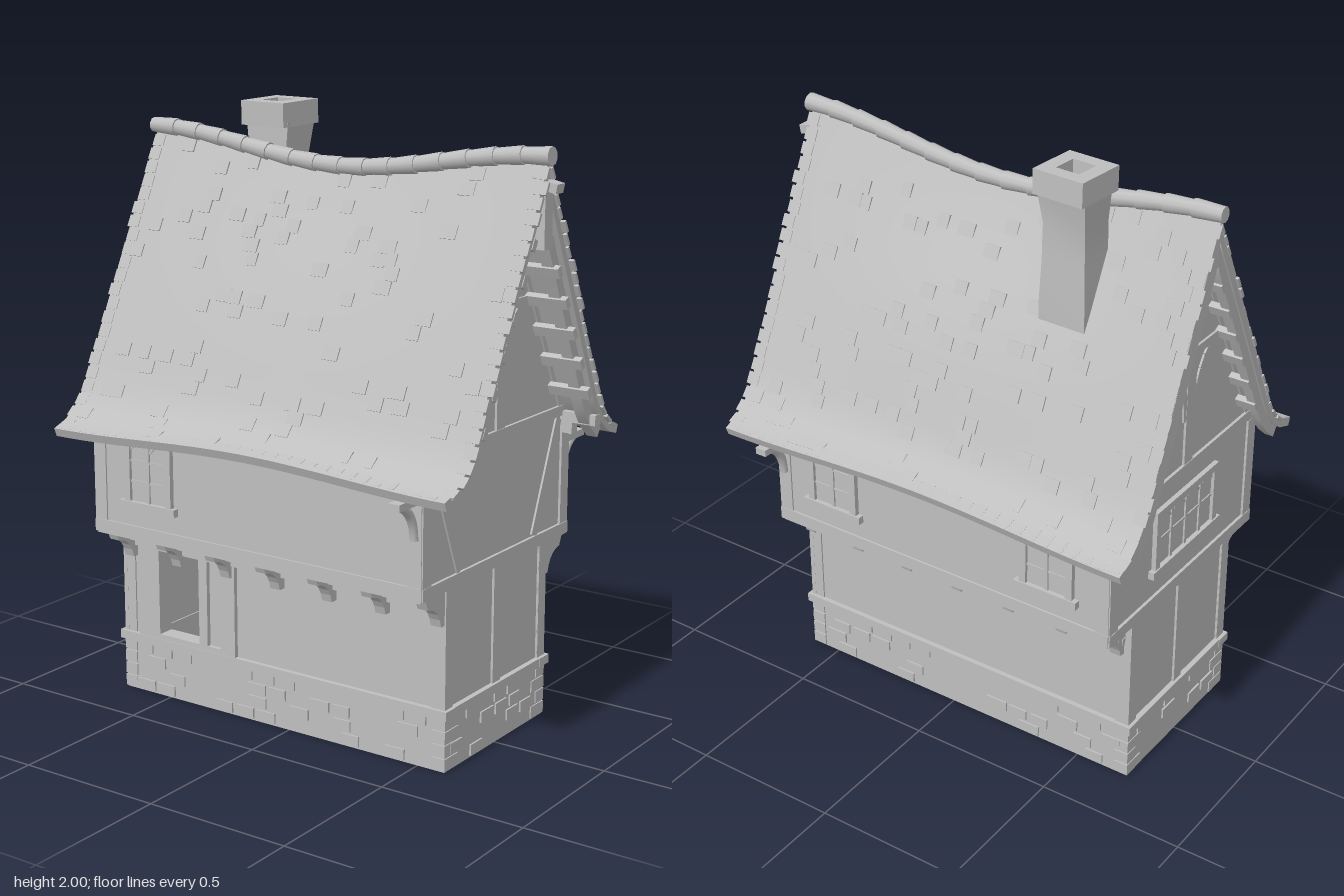
import * as THREE from 'three';
import { mergeGeometries, toCreasedNormals } from 'three/addons/utils/BufferGeometryUtils.js';

const FRONT = 0.6, BACK = -0.69;
const SIDES = [1, -1];

// Seeded random numbers
let seed = 7;
const rnd = () => (seed = (seed * 16807) % 2147483647) / 2147483647;

// Box given by centre and size, turned about x, then z
function box(w, h, d, x, y, z, rz = 0, rx = 0) {
  return new THREE.BoxGeometry(w, h, d).rotateX(rx).rotateZ(rz).translate(x, y, z);
}
// Box given by its limits
const span = (x0, x1, y0, y1, z0, z1) =>
  box(Math.abs(x1 - x0), y1 - y0, z1 - z0, (x0 + x1) / 2, (y0 + y1) / 2, (z0 + z1) / 2);
// Timber between two points in the plane z
const bar = (x1, y1, x2, y2, w, z, d = 0.016) =>
  box(Math.hypot(x2 - x1, y2 - y1), w, d, (x1 + x2) / 2, (y1 + y2) / 2, z, Math.atan2(y2 - y1, x2 - x1));

// Closed skin over rings of points; flip reverses the faces
function loft(rings, flip) {
  const n = rings[0].length, pos = rings.flat(2), idx = [];
  const quad = (a, b, c, d) => (flip ? idx.push(a, c, b, a, d, c) : idx.push(a, b, c, a, c, d));
  for (let k = 0; k + 1 < rings.length; k++) {
    for (let i = 0; i < n; i++) {
      const j = (i + 1) % n;
      quad(k * n + i, (k + 1) * n + i, (k + 1) * n + j, k * n + j);
    }
  }
  const e = (rings.length - 1) * n;
  for (let i = 0; i < n / 2 - 1; i++) {
    quad(i, i + 1, n - 2 - i, n - 1 - i);
    quad(e + n - 1 - i, e + n - 2 - i, e + i + 1, e + i);
  }
  const g = new THREE.BufferGeometry();
  g.setAttribute('position', new THREE.Float32BufferAttribute(pos, 3));
  g.setIndex(idx);
  return toCreasedNormals(g.toNonIndexed(), 0.6);
}

// Roof slope: ridge to flared eave, sagging at the ridge and bulging below it
const slope = new THREE.SplineCurve([[0, 1.88], [0.2, 1.485], [0.38, 1.125], [0.43, 1.04], [0.49, 0.985], [0.555, 0.96]]
  .map(p => new THREE.Vector2(...p)));
function roofAt(side, v, z, t = 0) {
  const p = slope.getPointAt(v), d = slope.getTangentAt(v);
  const sag = Math.cos(Math.PI * z / 1.54) ** 2;
  const out = t + sag * (side > 0 ? 0.032 : 0.014) * Math.sin(Math.PI * v) ** 2;
  return {
    p: [side * Math.max(0, p.x - d.y * out), p.y + d.x * out + sag * (0.03 * v - 0.082 * (1 - v)), z - (side > 0 ? 0.03 * v : 0)],
    angle: side * Math.atan2(d.y, d.x),
  };
}
// Slab following the slope between two offsets
function roofSlab(side, t0, t1, v1, z0, z1, steps) {
  const rings = [], N = 18;
  for (let k = 0; k <= steps; k++) {
    const z = z0 + (z1 - z0) * k / steps, ring = [];
    for (let i = 0; i <= N; i++) ring.push(roofAt(side, v1 * i / N, z, t1).p);
    for (let i = N; i >= 0; i--) ring.push(roofAt(side, v1 * i / N, z, t0).p);
    rings.push(ring);
  }
  return loft(rings, side < 0);
}

export function createModel() {
  seed = 7;
  const house = new THREE.Group();
  house.name = 'house';
  const grey = new THREE.MeshStandardMaterial({ color: 0xbfbfbf });
  grey.name = 'grey';
  const add = (name, geos) => {
    const clean = geos.map(g => {
      const c = g.index ? g.toNonIndexed() : g;
      c.deleteAttribute('uv');
      return c;
    });
    const m = new THREE.Mesh(mergeGeometries(clean), grey);
    m.name = name;
    house.add(m);
    return m;
  };

  // Stone footing, open underneath, with proud stones
  const foot = [], stones = [];
  for (const s of SIDES) {
    foot.push(span(s * 0.301, s * 0.25, 0, 0.185, BACK, FRONT));
    const zf = s > 0 ? FRONT : BACK;
    foot.push(box(0.6, 0.185, 0.05, 0, 0.0925, zf - s * 0.025));
    for (let row = 0; row < 4; row++) {
      const y = 0.025 + row * 0.045;
      for (let z = BACK + 0.04 + rnd() * 0.05; z < FRONT - 0.04; z += 0.085) {
        if (rnd() < 0.4) stones.push(box(0.014, 0.036, 0.06 + rnd() * 0.02, s * 0.3, y, z));
      }
      for (let x = -0.24 + rnd() * 0.04; x < 0.25; x += 0.085) {
        if (rnd() < 0.4) stones.push(box(0.06 + rnd() * 0.02, 0.036, 0.012, x, y, zf));
      }
      for (const c of SIDES) stones.push(box(row % 2 ? 0.05 : 0.08, 0.04, 0.05, c * (row % 2 ? 0.281 : 0.266), y, zf - s * 0.021));
    }
  }
  add('stoneFooting', foot);
  add('footingStones', stones);

  // Ground floor walls, with an opening on one side
  add('groundWalls', [
    span(0.3, 0.26, 0.18, 0.6, BACK, FRONT),
    span(-0.3, -0.26, 0.18, 0.6, BACK, -0.55),
    span(-0.3, -0.26, 0.18, 0.6, -0.34, FRONT),
    span(-0.3, -0.26, 0.53, 0.6, -0.55, -0.34),
    span(-0.3, 0.3, 0.18, 0.6, FRONT - 0.045, FRONT - 0.005),
    span(-0.3, 0.3, 0.18, 0.6, BACK + 0.005, BACK + 0.045),
    span(-0.3, 0.3, 0.57, 0.6, BACK + 0.01, FRONT - 0.01),
  ]);
  add('openingFrame', [
    span(-0.315, -0.255, 0.2, 0.55, -0.62, -0.53),
    span(-0.315, -0.255, 0.2, 0.55, -0.36, -0.325),
    span(-0.315, -0.255, 0.2, 0.55, -0.27, -0.21),
    span(-0.315, -0.255, 0.52, 0.56, -0.62, -0.21),
    span(-0.315, -0.255, 0.19, 0.225, -0.62, -0.21),
  ]);

  // Sill beams above the footing
  const sills = [];
  for (const s of SIDES) {
    sills.push(span(s * 0.317, s * 0.26, 0.178, 0.208, BACK - 0.015, FRONT + 0.015));
    sills.push(box(0.6, 0.03, 0.05, 0, 0.193, s > 0 ? FRONT - 0.012 : BACK + 0.012));
  }
  add('sillBeams', sills);

  // Upper storey and gable walls
  add('upperStorey', [span(-0.437, 0.437, 0.59, 0.97, BACK + 0.005, FRONT - 0.005)]);
  const gable = new THREE.Shape([[-0.432, 0.9], [0.432, 0.9], [0.432, 0.985], [0.4, 1.02], [0, 1.81], [-0.4, 1.02], [-0.432, 0.985]]
    .map(p => new THREE.Vector2(...p)));
  const gableGeo = z => new THREE.ExtrudeGeometry(gable, { depth: 0.04, bevelEnabled: false }).translate(0, 0, z);
  add('gableWalls', [gableGeo(FRONT - 0.045), gableGeo(BACK + 0.005)]);

  // Timber framing on both gable ends
  const frame = [];
  for (const z of [FRONT - 0.005, BACK + 0.005]) {
    frame.push(bar(-0.44, 0.617, 0.44, 0.617, 0.04, z, 0.02));
    frame.push(bar(-0.41, 1.025, 0.41, 1.025, 0.034, z, 0.02));
    frame.push(bar(-0.19, 1.425, 0.19, 1.425, 0.03, z));
    frame.push(bar(0, 0.2, 0, 0.6, 0.045, z));
    frame.push(bar(0, 1.03, 0, 1.42, 0.05, z));
    for (const s of SIDES) {
      frame.push(bar(s * 0.283, 0.2, s * 0.283, 0.6, 0.045, z));
      frame.push(bar(s * 0.415, 0.6, s * 0.415, 1.0, 0.048, z));
      frame.push(bar(s * 0.41, 1.0, s * 0.03, 1.76, 0.035, z, 0.014));
      if (z > 0) frame.push(bar(s * 0.37, 1.0, s * 0.225, 0.64, 0.034, z, 0.014));
      // Curved brace from king post to collar
      const bend = new THREE.QuadraticBezierCurve(new THREE.Vector2(s * 0.025, 1.2), new THREE.Vector2(s * 0.03, 1.35), new THREE.Vector2(s * 0.11, 1.41));
      const pts = bend.getPoints(5);
      for (let i = 0; i < 5; i++) frame.push(bar(pts[i].x, pts[i].y, pts[i + 1].x, pts[i + 1].y, 0.024, z, 0.014));
    }
  }
  // Long side beams and corner posts
  for (const s of SIDES) {
    frame.push(span(s * 0.43, s * 0.444, 0.597, 0.64, BACK, FRONT));
    for (const z of [FRONT - 0.025, BACK + 0.025]) {
      frame.push(box(0.016, 0.36, 0.048, s * 0.434, 0.79, z));
      frame.push(box(0.016, 0.4, 0.045, s * 0.297, 0.4, z));
    }
  }
  add('timberFrame', frame);

  // Jetty brackets and mouldings beneath the upper storey
  const jetty = [];
  for (const s of SIDES) {
    const b = new THREE.Shape();
    b.moveTo(s * 0.29, 0.595);
    b.lineTo(s * 0.415, 0.595);
    b.lineTo(s * 0.4, 0.56);
    b.quadraticCurveTo(s * 0.34, 0.555, s * 0.325, 0.485);
    b.lineTo(s * 0.29, 0.485);
    for (let i = 0; i < 7; i++) {
      jetty.push(new THREE.ExtrudeGeometry(b, { depth: 0.038, bevelEnabled: false, curveSegments: 5 })
        .translate(0, 0, 0.56 - i * 0.2045));
    }
    for (const [x, y] of [[0.38, 0.575], [0.345, 0.55], [0.32, 0.525]]) {
      jetty.push(span(s * 0.29, s * x, y, y + 0.022, BACK + 0.02, FRONT - 0.02));
    }
  }
  add('jettyBrackets', jetty);

  // Leaded windows: frame, glazing bars and sill, facing +z before turning
  const addWindow = (name, w, h, cols, rows, x, y, z, turn) => {
    const g = [box(w, h, 0.008, 0, 0, 0), box(w + 0.06, 0.026, 0.04, 0, -h / 2 - 0.01, 0)];
    for (const s of SIDES) g.push(box(0.025, h, 0.03, s * w / 2, 0, 0));
    g.push(box(w + 0.025, 0.025, 0.03, 0, h / 2, 0));
    for (let i = 1; i < cols; i++) g.push(box(0.012, h, 0.02, (i / cols - 0.5) * w, 0, 0));
    for (let j = 1; j < rows; j++) g.push(box(w, 0.008, 0.016, 0, (j / rows - 0.5) * h, 0));
    for (let i = 0; i < cols; i++) {
      const c = ((i + 0.5) / cols - 0.5) * w, q = w / cols / 2;
      for (const s of SIDES) g.push(bar(c, h / 2, c + s * q, h / 2 - q, 0.008, 0));
    }
    const m = add(name, g);
    m.position.set(x, y, z);
    m.rotation.y = turn;
  };
  addWindow('sideWindowFront', 0.17, 0.21, 2, 3, 0.439, 0.83, 0.37, Math.PI / 2);
  addWindow('sideWindowBack', 0.17, 0.21, 2, 3, 0.439, 0.83, -0.465, Math.PI / 2);
  addWindow('farSideWindow', 0.17, 0.21, 2, 3, -0.439, 0.83, -0.455, -Math.PI / 2);
  addWindow('backWindow', 0.35, 0.2, 4, 2, 0, 0.84, BACK + 0.004, Math.PI);

  // Roof slopes, scattered raised tiles and uneven verge and eave tiles
  const slabs = [], tiles = [], barges = [], rungs = [];
  for (const s of SIDES) {
    slabs.push(roofSlab(s, -0.03, 0, 1, -0.76, 0.75, 24));
    const tile = (v, z, w, d, t) => {
      const { p, angle } = roofAt(s, v, z, t);
      tiles.push(box(w, 0.01, d, ...p, angle));
    };
    for (let row = 0; row < 22; row++) {
      const v = 0.03 + row * 0.044;
      for (let z = -0.7; z < 0.7; z += 0.045) {
        if (rnd() < 0.13) tile(v, z + (row % 2) * 0.02, 0.045, 0.04 + rnd() * 0.02, -0.001);
      }
      for (const e of SIDES) tile(v, e * (0.735 + rnd() * 0.012), 0.04, 0.045, -0.003);
    }
    for (let z = -0.73; z < 0.74; z += 0.049) tile(0.975, z, 0.035 + rnd() * 0.012, 0.044, -0.004);
    // Barge boards under both verges, with purlin ends behind
    barges.push(roofSlab(s, -0.065, -0.028, 0.93, 0.69, 0.73, 1));
    barges.push(roofSlab(s, -0.065, -0.028, 0.93, -0.755, -0.725, 1));
    for (let i = 1; i < 8; i++) {
      for (const [z, d] of [[0.66, 0.16], [-0.715, 0.08]]) {
        const { p, angle } = roofAt(s, i * 0.108, z, -0.062);
        rungs.push(box(0.036, 0.022, d, p[0], p[1], z, angle));
      }
    }
    // Corner purlin brackets and curved eave brackets
    rungs.push(box(0.035, 0.07, 0.04, s * 0.405, 0.985, FRONT + 0.02), box(0.035, 0.035, 0.13, s * 0.405, 1.005, FRONT + 0.06));
    rungs.push(span(s * 0.43, s * 0.555, 0.905, 0.928, 0.555, 0.595));
    const curve = new THREE.QuadraticBezierCurve3(new THREE.Vector3(s * 0.445, 0.79, 0.575),
      new THREE.Vector3(s * 0.45, 0.88, 0.575), new THREE.Vector3(s * 0.52, 0.91, 0.575));
    rungs.push(new THREE.TubeGeometry(curve, 8, 0.015, 6));
  }
  add('roofSlopes', slabs);
  add('roofTiles', tiles);
  add('bargeBoards', barges);
  add('purlinEnds', rungs);
  add('gablePendant', [span(-0.023, 0.023, 1.62, 1.83, 0.715, 0.755), box(0.045, 0.03, 0.09, 0, 1.815, 0.748, 0, 0.2)]);

  // Overlapping ridge tiles following the sag
  const ridge = [], count = 16, step = 1.53 / count;
  for (let i = 0; i < count; i++) {
    const z = -0.768 + (i + 0.5) * step, y = roofAt(1, 0, z).p[1];
    const pitch = (roofAt(1, 0, z + 0.05).p[1] - roofAt(1, 0, z - 0.05).p[1]) / 0.1;
    ridge.push(new THREE.CylinderGeometry(0.03, 0.025, step * 1.06, 10)
      .rotateX(Math.PI / 2 - Math.atan(pitch)).translate(-0.003, y + 0.02, z));
  }
  add('ridgeTiles', ridge);

  // Crooked chimney shaft and hollow cap
  const shaft = [[1.4, 0.125, 0.072, 0.082], [1.55, 0.13, 0.07, 0.082], [1.7, 0.13, 0.064, 0.076], [1.82, 0.128, 0.064, 0.074], [1.93, 0.138, 0.074, 0.084]]
    .map(([y, x, w, d]) => [[-1, -1], [1, -1], [1, 1], [-1, 1]].map(([a, b]) => [x + a * w, y, -0.345 + b * d]));
  add('chimneyShaft', [loft(shaft, false)]);
  const square = r => [[-r, -r], [r, -r], [r, r], [-r, r]].map(p => new THREE.Vector2(...p));
  const capShape = new THREE.Shape(square(0.09));
  capShape.holes.push(new THREE.Path(square(0.042)));
  const cap = add('chimneyCap', [new THREE.ExtrudeGeometry(capShape, { depth: 0.08, bevelEnabled: false }).rotateX(-Math.PI / 2)]);
  cap.position.set(0.138, 1.917, -0.348);
  cap.rotation.set(0, -0.06, 0.02);

  return house;
}
